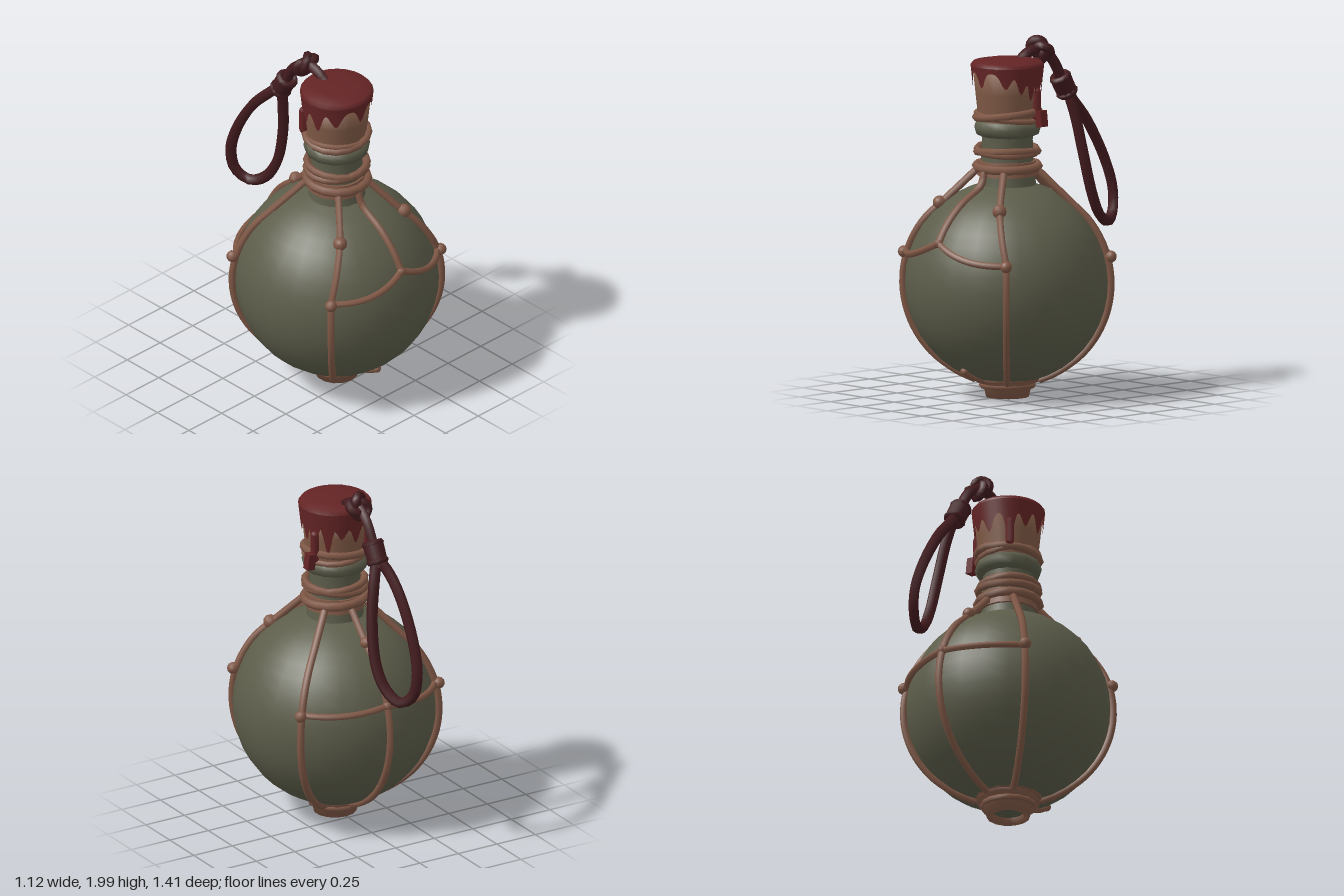
import * as THREE from 'three';

const mat = (name, hex, side = THREE.FrontSide) => {
  const m = new THREE.MeshStandardMaterial({ color: hex, side });
  m.name = name;
  return m;
};

export function createModel() {
  const glass = mat('olive glass', 0x5c5d4a);
  const rope = mat('brown rope', 0x805846);
  const cork = mat('cork', 0x805a46);
  const wax = mat('red wax', 0x642425, THREE.DoubleSide);
  const cordMat = mat('dark red cord', 0x421b1e);

  const root = new THREE.Group();
  const flask = new THREE.Group();   // everything turned around the bottle axis
  flask.name = 'flask';
  flask.position.z = 0.135;
  root.add(flask);

  const R = 0.565, CY = 0.65;
  const V = (x, y, z) => new THREE.Vector3(x, y, z);
  const add = (parent, name, geo, m, x = 0, y = 0, z = 0) => {
    const mesh = new THREE.Mesh(geo, m);
    mesh.name = name;
    mesh.position.set(x, y, z);
    parent.add(mesh);
    return mesh;
  };
  const lathe = (pts, seg) => new THREE.LatheGeometry(pts.map(p => new THREE.Vector2(p[0], p[1])), seg);
  const tube = (pts, r, n) => new THREE.TubeGeometry(new THREE.CatmullRomCurve3(pts), n, r, 6);
  const polar = (deg, r, y) => {
    const a = deg * Math.PI / 180;
    return V(r * Math.sin(a), y, r * Math.cos(a));
  };
  const onBody = (deg, y, lift = 0.012) => polar(deg, Math.sqrt(R * R - (y - CY) ** 2) + lift, y);

  // Round glass body
  const profile = [];
  for (let i = 0; i <= 18; i++) {
    const t = -1.28 + 2.6 * i / 18;
    profile.push([R * Math.cos(t), CY + R * Math.sin(t)]);
  }
  add(flask, 'body', lathe(profile, 26), glass);

  // Neck and its lip
  add(flask, 'neck', lathe([[0.165, 1.16], [0.155, 1.22], [0.145, 1.32], [0.14, 1.44], [0.15, 1.56]], 18), glass);
  add(flask, 'neckLip', lathe([[0.14, 1.46], [0.175, 1.475], [0.185, 1.51], [0.175, 1.54], [0.14, 1.56]], 14), glass);

  // Stepped foot with a hollow underside
  add(flask, 'foot', lathe([[0.09, 0.06], [0.09, 0.01], [0.12, 0.01], [0.13, 0.055], [0.15, 0.06],
    [0.15, 0.085], [0.175, 0.095], [0.185, 0.135], [0.16, 0.16]], 14), rope);
  const under = add(flask, 'footHollow', new THREE.CircleGeometry(0.1, 14), glass, 0, 0.045, 0);
  under.rotation.x = Math.PI / 2;

  // Rope wraps around neck and foot
  const wrap = (name, r, t, y, tx, tz) => {
    const ring = add(flask, name, new THREE.TorusGeometry(r, t, 6, 16), rope, 0, y, 0);
    ring.rotation.set(Math.PI / 2 + tx, tz, 0);
  };
  add(flask, 'neckBand', new THREE.CylinderGeometry(0.158, 0.168, 0.08, 16), rope, 0, 1.285, 0);
  wrap('neckWrap', 0.172, 0.025, 1.295, 0.03, -0.03);
  wrap('neckWrap', 0.168, 0.022, 1.375, -0.06, 0.08);
  wrap('neckWrap', 0.168, 0.02, 1.385, 0.05, -0.09);
  wrap('corkWrap', 0.175, 0.022, 1.585, 0.06, 0.1);
  wrap('corkWrap', 0.172, 0.016, 1.57, -0.07, -0.1);
  wrap('footWrap', 0.17, 0.022, 0.125, 0.03, 0);
  wrap('footWrap', 0.142, 0.016, 0.075, -0.03, 0.03);

  // Net: upright ropes, draped ropes and knots. Ropes may turn towards topDeg above the drapes.
  const upright = (deg, yTop, topDeg = deg, n = 10) => {
    const pts = [polar(deg, 0.175, 0.105)];
    for (let i = 0; i <= n; i++) {
      const y = 0.15 + (yTop - 0.15) * i / n;
      const turn = Math.max(0, (y - 0.81) / (yTop - 0.81));
      pts.push(onBody(deg + (topDeg - deg) * turn, y));
    }
    pts.push(polar(topDeg, 0.175, 1.27));
    add(flask, 'netRope', tube(pts, 0.021, 36), rope);
  };
  const knot = (p, s) => {
    const k = add(flask, 'netKnot', new THREE.IcosahedronGeometry(s, 1), rope, p.x, p.y, p.z);
    k.lookAt(p.clone().multiplyScalar(2));
  };
  const drape = (a, ya, b, yb, sag) => {
    const pts = [];
    for (let i = 0; i <= 6; i++) {
      const t = i / 6;
      pts.push(onBody(a + (b - a) * t, ya + (yb - ya) * t - sag * Math.sin(Math.PI * t)));
    }
    add(flask, 'drapedRope', tube(pts, 0.019, 18), rope);
  };
  for (const s of [-1, 1]) {
    upright(s * 47, 1.1, s * 41);
    upright(s * 129, 1.1);
    knot(onBody(s * 47, 0.81, 0.03), 0.034);
    knot(onBody(s * 129, 0.8, 0.032), 0.034);
    knot(onBody(s * 41, 1.09, 0.018), 0.04);
    drape(s * 47, 0.81, 0, 0.91, 0.03);
    drape(s * 129, 0.8, s * 180, 0.83, 0.01);
  }
  upright(180, 1.12);
  knot(onBody(180, 1.13, 0.03), 0.036);
  knot(onBody(180, 0.83), 0.028);
  add(flask, 'frontRope', tube([onBody(0, 0.91), onBody(0, 1.0), onBody(0, 1.1), polar(0, 0.2, 1.2), polar(0, 0.17, 1.28)], 0.021, 16), rope);
  knot(onBody(0, 0.91), 0.026);

  // Short tie at the front of the foot
  add(flask, 'footTie', tube([polar(0, 0.17, 0.11), onBody(0, 0.15), onBody(0, 0.18)], 0.018, 8), rope);
  knot(onBody(0, 0.18, 0.005), 0.024);

  // Cork stopper
  const corkR = y => 0.16 + 0.032 * (y - 1.55) / 0.3;
  add(flask, 'cork', lathe([[corkR(1.53), 1.53], [corkR(1.7), 1.7], [corkR(1.86), 1.86], [0, 1.87]], 16), cork);

  // Wax cap with a rounded rim
  add(flask, 'waxCap', lathe([[0.201, 1.84], [0.203, 1.86], [0.188, 1.878], [0.12, 1.89], [0, 1.897]], 24), wax);

  // Wax hem: a wavy sheet with drips given as [angle, length, width]
  const drips = [[0, 0.09, 9], [-45, 0.09, 11], [45, 0.08, 10], [72, 0.1, 9], [92, 0.13, 8],
    [111, 0.26, 7], [136, 0.17, 8], [160, 0.07, 9], [187, 0.1, 9], [224, 0.2, 8], [252, 0.09, 9], [282, 0.12, 10]];
  const hem = deg => {
    let drop = 0;
    for (const [a, len, w] of drips) {
      const d = ((deg - a + 540) % 360) - 180;
      drop = Math.max(drop, len * Math.exp(-((d / w) ** 2)));
    }
    return 1.8 + 0.03 * Math.cos(deg * Math.PI / 180) - drop;
  };
  const pos = [], idx = [], steps = 90;
  for (let i = 0; i <= steps; i++) {
    const deg = i * 360 / steps, low = hem(deg);
    for (const y of [low, (low + 1.855) / 2, 1.855]) pos.push(...polar(deg, corkR(y) + 0.01, y).toArray());
    if (i < steps) for (let j = 0; j < 2; j++) {
      const a = i * 3 + j, b = a + 3;
      idx.push(a, b, a + 1, b, b + 1, a + 1);
    }
  }
  const skirt = new THREE.BufferGeometry();
  skirt.setAttribute('position', new THREE.Float32BufferAttribute(pos, 3));
  skirt.setIndex(idx);
  skirt.computeVertexNormals();
  add(flask, 'waxDrips', skirt, wax);

  // Thick ends of the two longest drips
  for (const [deg, low] of [[111, 1.58], [224, 1.6]]) {
    const mid = (low + 1.72) / 2;
    const p = polar(deg, corkR(mid) + 0.012, mid);
    add(flask, 'waxRun', new THREE.CapsuleGeometry(0.024, 1.72 - low, 3, 7), wax, p.x, p.y, p.z);
  }
  const tip = add(flask, 'waxTip', new THREE.BoxGeometry(0.045, 0.09, 0.05), wax, 0.205, 1.57, -0.068);
  tip.rotation.z = 0.12;

  // Hanging cord: lead from the cork, knot, bead and loop
  const hanger = new THREE.Group();
  hanger.name = 'hangingCord';
  root.add(hanger);
  add(hanger, 'cordLead', tube([V(0, 1.87, 0.04), V(0, 1.905, -0.01), V(0, 1.92, -0.09),
    V(0, 1.865, -0.19), V(0, 1.72, -0.28), V(0, 1.63, -0.33)], 0.03, 20), cordMat);
  const tie = add(hanger, 'cordKnot', new THREE.TorusKnotGeometry(0.042, 0.026, 48, 6, 2, 3), cordMat, 0, 1.918, -0.11);
  tie.rotation.set(0.5, 0.2, 0);
  const bead = new THREE.Group();
  bead.name = 'cordBead';
  bead.position.set(0, 1.705, -0.285);
  bead.rotation.x = 0.52;
  hanger.add(bead);
  add(bead, 'beadCore', new THREE.CylinderGeometry(0.06, 0.057, 0.11, 10), cordMat);
  for (const y of [-0.05, 0.05]) {
    add(bead, 'beadRim', new THREE.TorusGeometry(0.044, 0.02, 6, 12), cordMat, 0, y, 0).rotation.x = Math.PI / 2;
  }
  add(hanger, 'cordLoop', tube([V(0.01, 1.66, -0.31), V(0.04, 1.53, -0.335), V(0.07, 1.33, -0.365),
    V(0.08, 1.09, -0.425), V(0.06, 0.965, -0.5), V(0.03, 0.92, -0.59), V(-0.01, 0.975, -0.66),
    V(-0.03, 1.1, -0.675), V(-0.04, 1.27, -0.62), V(-0.04, 1.49, -0.49), V(-0.03, 1.61, -0.38),
    V(0, 1.68, -0.31)], 0.031, 44), cordMat);

  return root;
}
